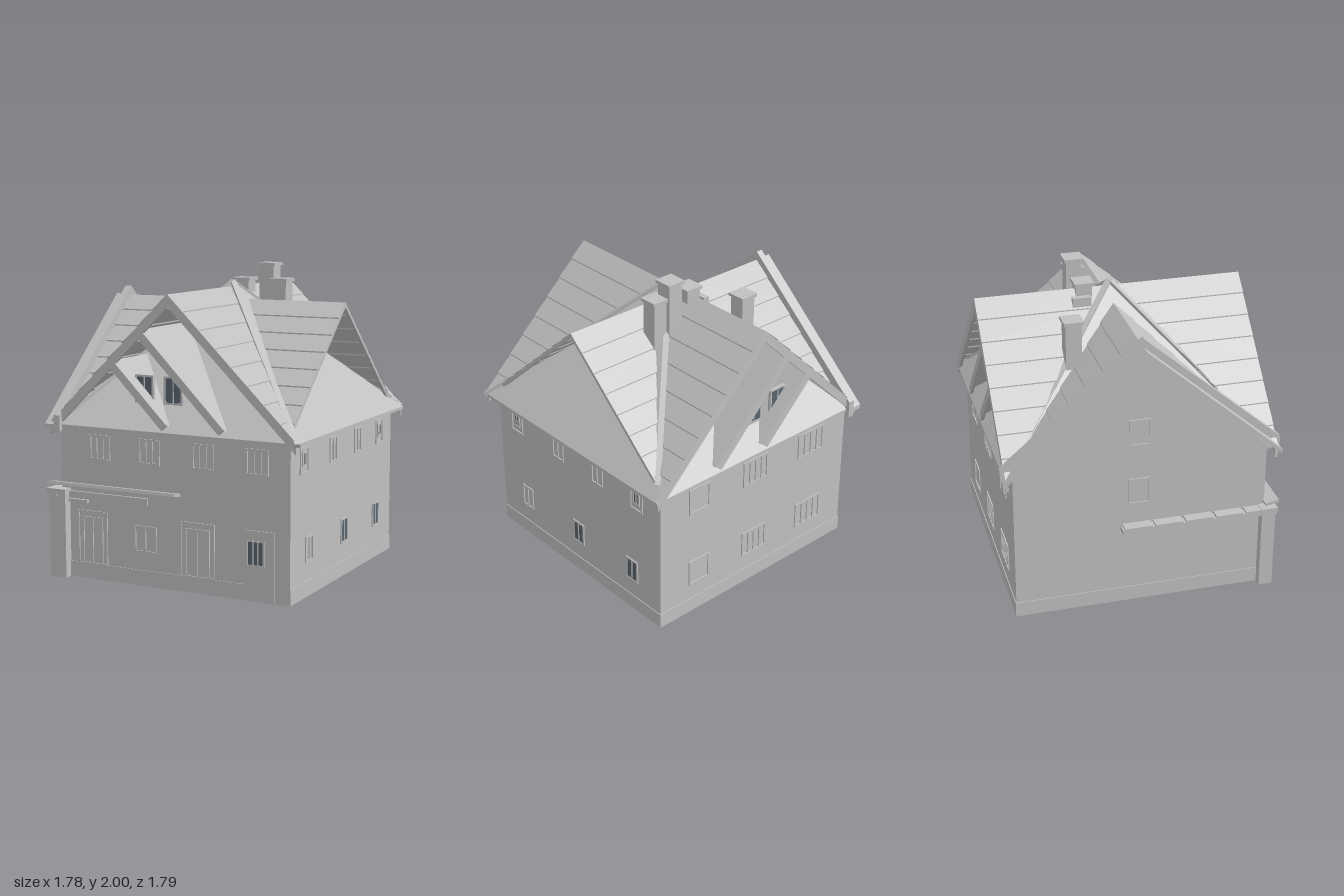
import * as THREE from 'three';

export function createModel() {
  const model = new THREE.Group();
  const plaster = new THREE.MeshStandardMaterial({ color: 0xc0c0c0, side: THREE.DoubleSide });
  const glass = new THREE.MeshStandardMaterial({ color: 0x59656f });

  const add = (name, geo, parent = model, mat = plaster) => {
    const m = new THREE.Mesh(geo, mat);
    m.name = name;
    parent.add(m);
    return m;
  };
  // Box from its minimum and maximum corners
  const box = (name, a, b, parent = model, mat = plaster) => {
    const m = add(name, new THREE.BoxGeometry(b[0] - a[0], b[1] - a[1], b[2] - a[2]), parent, mat);
    m.position.set((a[0] + b[0]) / 2, (a[1] + b[1]) / 2, (a[2] + b[2]) / 2);
  };
  // Straight timber from p to q
  const beam = (name, p, q, w, h) => {
    const a = new THREE.Vector3(...p), b = new THREE.Vector3(...q);
    const m = add(name, new THREE.BoxGeometry(w, h, a.distanceTo(b)));
    m.position.copy(a).lerp(b, 0.5);
    m.lookAt(b);
  };
  // Upside-down V board with plumb-cut ends
  const chevron = (name, half, peak, eave, depth, thick) => {
    const pts = [[0, peak], [half, eave], [half, eave - depth], [0, peak - depth], [-half, eave - depth], [-half, eave]];
    const shape = new THREE.Shape(pts.map(p => new THREE.Vector2(...p)));
    const geo = new THREE.ExtrudeGeometry(shape, { depth: thick, bevelEnabled: false });
    return add(name, geo.translate(0, 0, -thick / 2));
  };
  // Flat polygons, each turned to face its outward direction
  const sheet = (name, polys) => {
    const pos = [];
    for (const { pts, out } of polys) {
      const v = pts.map(p => new THREE.Vector3(...p));
      for (let i = 1; i < v.length - 1; i++) {
        const t = [v[0], v[i], v[i + 1]];
        const n = t[1].clone().sub(t[0]).cross(t[2].clone().sub(t[0]));
        if (n.dot(new THREE.Vector3(...out)) < 0) t.reverse();
        t.forEach(p => pos.push(p.x, p.y, p.z));
      }
    }
    const g = new THREE.BufferGeometry();
    g.setAttribute('position', new THREE.Float32BufferAttribute(pos, 3));
    g.computeVertexNormals();
    add(name, g);
  };

  // Hollow walls, open below
  box('frontWall', [-0.82, 0, 0.8], [0.8, 0.98, 0.81]);
  box('backWall', [-0.82, 0, -0.82], [0.8, 0.98, -0.81]);
  box('leftWall', [-0.82, 0, -0.81], [-0.81, 0.98, 0.8]);
  box('rightWall', [0.79, 0, -0.81], [0.8, 0.98, 0.8]);
  box('frontPlinth', [-0.82, 0, 0.81], [0.5, 0.1, 0.815]);
  box('backPlinth', [-0.825, 0, -0.825], [0.805, 0.1, -0.82]);
  box('leftPlinth', [-0.825, 0, -0.82], [-0.82, 0.1, 0.81]);
  box('rightPlinth', [0.8, 0, -0.82], [0.805, 0.1, 0.81]);
  box('roomPartition', [-0.07, 0, 0.1], [-0.05, 0.47, 0.8]);
  box('roomPartition', [-0.81, 0, 0.1], [-0.07, 0.47, 0.12]);
  box('eavesSlab', [-0.82, 0.98, -0.87], [0.87, 1.0, 0.87]);
  sheet('leftGableWall', [{ pts: [[-0.82, 0.98, 0.85], [-0.82, 0.98, -0.85], [-0.82, 1.74, 0]], out: [-1, 0, 0] }]);

  // Hipped roof whose peak and ridges show between the crossing roofs
  const top = 1.89, apex = [0, top, 0], E = 0.87;
  const corners = [[-0.82, 1, E], [E, 1, E], [E, 1, -E], [-0.82, 1, -E]];
  sheet('hipRoof', corners.map((c, i) => {
    const n = corners[(i + 1) % 4];
    return { pts: [c, n, apex], out: [c[0] + n[0], 1, c[2] + n[2]] };
  }));
  for (const [x, , z] of corners) {
    const r = x > 0 && z > 0 ? 1 : 0.92;
    beam('hipRidge', [0, top - 0.01, 0], [x * r, top - 0.01 - (top - 1) * r, z * r], 0.036, 0.03);
  }

  // Crossing roofs: stepped boards, cut along the diagonal valleys
  const wing = (name, H, end, place) => {
    const N = 8, lift = 0.008, polys = [];
    for (const s of [1, -1]) for (let i = 0; i < N; i++) {
      const d0 = E * i / N, d1 = E * (i + 1) / N;
      const y = d => H - (H - 1) * d / E;
      const P = (a, d, h) => { const [x, z] = place(a, s * d); return [x, h, z]; };
      const a0 = Math.min(d0, end), a1 = Math.min(d1, end);
      const [ox, oz] = place(0, s);
      polys.push({ pts: [P(a0, d0, y(d0)), P(end, d0, y(d0)), P(end, d1, y(d1) + lift), P(a1, d1, y(d1) + lift)], out: [ox, 1, oz] });
      polys.push({ pts: [P(a1, d1, y(d1) + lift), P(end, d1, y(d1) + lift), P(end, d1, y(d1)), P(a1, d1, y(d1))], out: [ox, 0, oz] });
    }
    sheet(name, polys);
  };
  wing('frontRoof', 1.85, 0.87, (a, d) => [d, a]);
  wing('backRoof', 1.85, 0.87, (a, d) => [d, -a]);
  wing('rightRoof', 1.77, 0.8, (a, d) => [a, d]);
  wing('leftRoof', 1.77, 0.8, (a, d) => [-a, d]);

  // Front and back gables: rake boards, inner rafters with their roof sheets, attic windows
  const hipZ = y => E * (top - y) / (top - 1);
  const attic = (x, z, sz) => {
    const g = new THREE.Group();
    g.name = 'atticWindow';
    g.position.set(x, 1.25, z);
    if (sz < 0) g.rotation.y = Math.PI;
    model.add(g);
    box('atticGlass', [-0.055, -0.08, -0.004], [0.055, 0.08, 0.004], g, glass);
    for (const s of [-0.06, 0, 0.06]) box('atticFrame', [s - (s ? 0.006 : 0.003), -0.085, -0.01], [s + (s ? 0.006 : 0.003), 0.085, 0.01], g);
    for (const s of [-0.082, 0.082]) box('atticFrame', [-0.066, s - 0.006, -0.01], [0.066, s + 0.006, 0.01], g);
  };
  for (const sz of [1, -1]) {
    const z = sz * 0.86;
    chevron('gableRake', 0.86, 1.85, 1.01, 0.075, 0.02).position.z = z;
    for (const [x0, y0, x1] of [[-0.39, 1.43, -0.01], [-0.19, 1.63, 0.385]]) {
      const y1 = 1.04;
      beam('innerRafter', [x0 - 0.02, y0 - 0.02, z], [x1 - 0.02, y1 - 0.01, z], 0.02, 0.05);
      sheet('innerRoofSheet', [{ pts: [[x0, y0, z], [x1, y1, z], [x1, y1, sz * hipZ(y1)], [x0, y0, sz * hipZ(y0)]], out: [1, 1, 0] }]);
    }
    attic(-0.015, sz * 0.77, sz);
    attic(-0.22, sz * 0.77, sz);
  }

  // Right and left gable trims, with a plain overhang beyond the left barge board
  const sideBoard = (x, ...args) => {
    const m = chevron(...args);
    m.rotation.y = Math.PI / 2;
    m.position.x = x;
  };
  sideBoard(0.79, 'rightRake', 0.86, 1.77, 1.005, 0.03, 0.02);
  sideBoard(-0.7975, 'leftBargeBoard', 0.895, 1.83, 1.06, 0.115, 0.045);
  sideBoard(-0.855, 'leftOverhang', 0.89, 1.775, 1.0, 0.03, 0.07);

  // Chimneys: centre x, centre z, top, foot
  for (const [x, z, cap, foot] of [[-0.335, -0.325, 1.79, 1.38], [0, -0.175, 1.9, 1.6], [0.172, -0.2, 2, 1.55], [0.272, -0.175, 1.9, 1.55]]) {
    box('chimneyShaft', [x - 0.052, foot, z - 0.052], [x + 0.052, cap - 0.02, z + 0.052]);
    box('chimneyCap', [x - 0.064, cap - 0.02, z - 0.064], [x + 0.064, cap, z + 0.064]);
  }
  box('chimneyFlue', [-0.1, 1.6, -0.26], [-0.06, 1.82, -0.14]);

  // Windows and doors: frame bars on a wall, glazed where asked
  const turn = { front: [0, 0.81], right: [Math.PI / 2, 0.8], back: [Math.PI, 0.82], left: [-Math.PI / 2, 0.82] };
  const opening = (name, side, u, y, w, h, bars, glazed) => {
    const [rot, dist] = turn[side];
    const g = new THREE.Group();
    g.name = name;
    g.rotation.y = rot;
    model.add(g);
    const t = 0.006, d = dist + 0.008;
    for (const s of [-1, 1]) {
      box(name + 'Jamb', [u + s * w / 2 - t, y - h / 2, dist], [u + s * w / 2 + t, y + h / 2, d], g);
      box(name + 'Rail', [u - w / 2 - t, y + s * h / 2 - t, dist], [u + w / 2 + t, y + s * h / 2 + t, d], g);
    }
    for (let i = 1; i <= bars; i++) {
      const x = u - w / 2 + w * i / (bars + 1);
      box(name + 'Mullion', [x - 0.004, y - h / 2, dist], [x + 0.004, y + h / 2, d], g);
    }
    if (glazed) box(name + 'Glass', [u - w / 2, y - h / 2, dist], [u + w / 2, y + h / 2, dist + 0.004], g, glass);
  };
  for (const [x, w] of [[-0.59, 0.21], [0.17, 0.23]]) {
    opening('door', 'front', x, 0.27, w, 0.34, 0, false);
    opening('doorPanel', 'front', x, 0.25, w - 0.07, 0.3, 1, false);
  }
  box('porchSurround', [0.5, 0, 0.81], [0.7, 0.44, 0.818]);
  box('porchGlass', [0.52, 0.23, 0.818], [0.63, 0.37, 0.824], model, glass);
  for (const x of [0.52, 0.557, 0.593, 0.63]) box('porchBar', [x - 0.004, 0.22, 0.818], [x + 0.004, 0.38, 0.828]);
  opening('window', 'front', -0.2, 0.3, 0.15, 0.16, 1, false);
  for (const x of [-0.53, -0.17, 0.21, 0.58]) opening('window', 'front', x, 0.86, 0.14, 0.15, 2, false);
  for (const y of [0.3, 0.84]) for (const [x, w, n] of [[0.48, 0.16, 0], [0, 0.2, 3], [-0.5, 0.22, 3]]) opening('window', 'back', -x, y, w, 0.17, n, false);
  for (const z of [0.54, -0.01, -0.55]) opening('window', 'right', -z, 0.3, 0.1, 0.15, 1, z < 0.5);
  for (const z of [0.18, -0.22]) opening('window', 'right', -z, 0.86, 0.1, 0.15, 1, false);
  for (const z of [0.62, -0.6]) {
    opening('smallWindow', 'right', -z, 0.87, 0.05, 0.08, 1, true);
    opening('windowSurround', 'right', -z, 0.86, 0.11, 0.15, 0, false);
  }
  for (const y of [0.8, 1.21]) opening('window', 'left', -0.02, y, 0.13, 0.17, 0, false);

  // Panes on the inside of the left and front walls
  for (const [z, y, w] of [[0.65, 0.34, 0.11], [0.04, 0.35, 0.09], [0.56, 0.85, 0.08]]) {
    box('innerPane', [-0.81, y - 0.07, z - w / 2], [-0.805, y + 0.07, z + w / 2], model, glass);
  }
  box('innerPane', [-0.33, 0.7, 0.795], [-0.17, 0.84, 0.8], model, glass);

  // Corner pillar and canopies
  box('cornerPillar', [-0.88, 0, 0.78], [-0.76, 0.55, 0.87]);
  box('pillarCap', [-0.895, 0.55, 0.77], [-0.755, 0.58, 0.88]);
  beam('frontCanopy', [-0.415, 0.605, 0.8], [-0.415, 0.622, 0.89], 0.93, 0.02);
  box('canopyBeam', [-0.78, 0.52, 0.81], [-0.18, 0.565, 0.825]);
  box('canopyBracket', [-0.76, 0.495, 0.81], [-0.62, 0.515, 0.83]);
  box('sideCanopy', [-0.885, 0.53, -0.14], [-0.82, 0.56, 0.88]);
  for (let i = 0; i < 5; i++) box('sideCanopyBoard', [-0.89, 0.56, -0.13 + i * 0.2], [-0.82, 0.575, 0.05 + i * 0.2]);
  return model;
}
